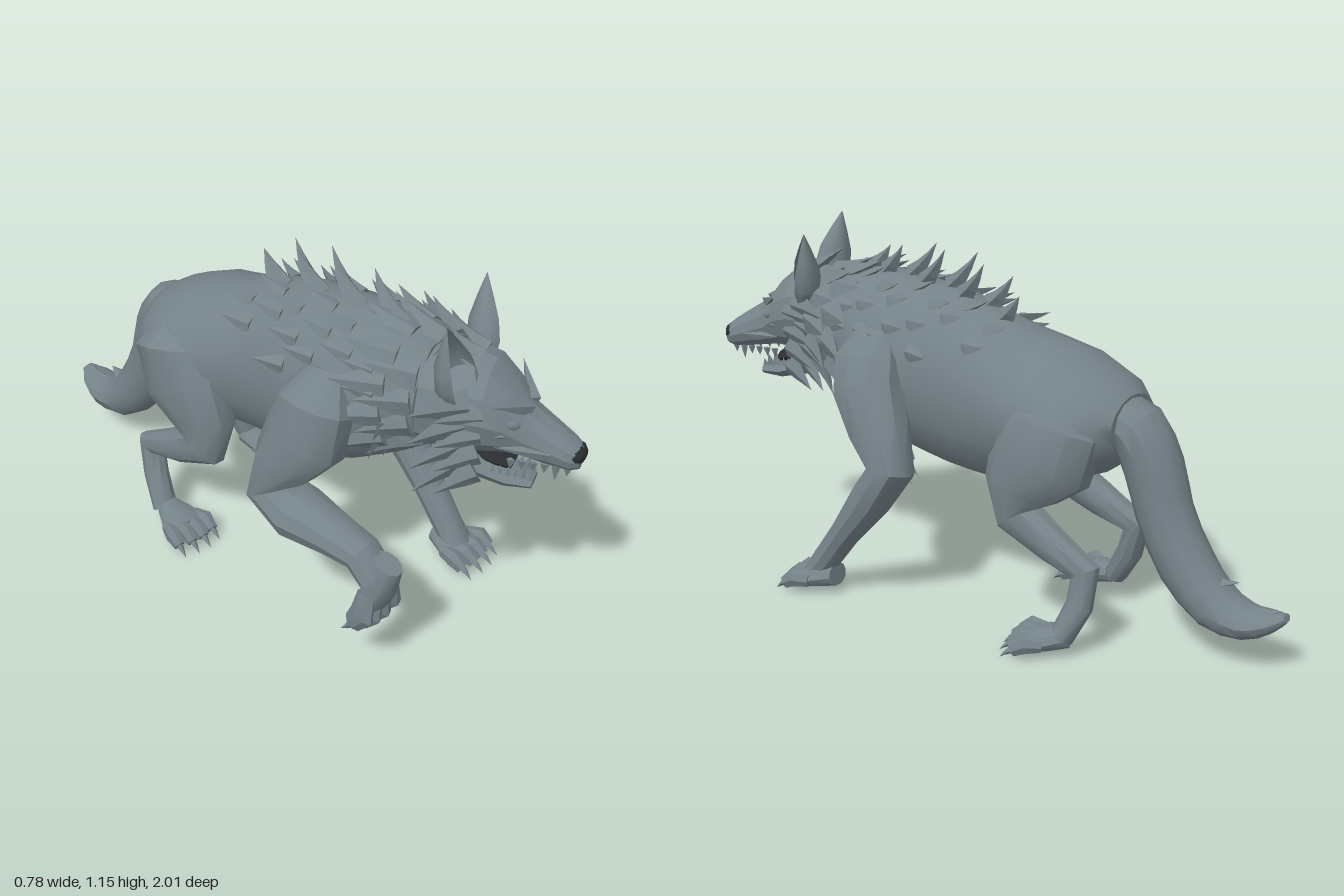
import * as THREE from 'three';
import { mergeGeometries, toCreasedNormals } from 'three/addons/utils/BufferGeometryUtils.js';

const mat = (name, color, side = THREE.FrontSide) => {
  const m = new THREE.MeshStandardMaterial({ color, side });
  m.name = name;
  return m;
};
const V = (x, y, z) => new THREE.Vector3(x, y, z);

// Closed skin through elliptical rings [x, y, z, halfWidth, halfDepth]
function loft(rings, { sides = 10, fixed = null, steps = 1, crease = 0.6 } = {}) {
  const curve = new THREE.CatmullRomCurve3(rings.map(r => V(r[0], r[1], r[2])));
  const n = (rings.length - 1) * steps, pos = [], idx = [];
  for (let k = 0; k <= n; k++) {
    const u = k / n, f = u * (rings.length - 1), i = Math.min(Math.floor(f), rings.length - 2), t = f - i;
    const p = curve.getPoint(u);
    const T = fixed ? fixed.clone() : curve.getTangent(u);
    const S = V(1, 0, 0).addScaledVector(T, -T.x).normalize();
    const D = T.clone().cross(S);
    const w = THREE.MathUtils.lerp(rings[i][3], rings[i + 1][3], t);
    const d = THREE.MathUtils.lerp(rings[i][4], rings[i + 1][4], t);
    for (let j = 0; j < sides; j++) {
      const a = (j / sides) * Math.PI * 2;
      const q = p.clone().addScaledVector(S, Math.cos(a) * w).addScaledVector(D, Math.sin(a) * d);
      pos.push(q.x, q.y, q.z);
    }
  }
  for (let k = 0; k < n; k++) for (let j = 0; j < sides; j++) {
    const a = k * sides + j, b = k * sides + (j + 1) % sides;
    idx.push(a, b, b + sides, a, b + sides, a + sides);
  }
  const e = n * sides;
  for (let j = 1; j < sides - 1; j++) idx.push(0, j + 1, j, e, e + j, e + j + 1);
  const g = new THREE.BufferGeometry();
  g.setAttribute('position', new THREE.Float32BufferAttribute(pos, 3));
  g.setIndex(idx);
  return toCreasedNormals(g, crease);
}

// Flattened leaf-shaped spike used for fur, claws and teeth
function blade(p, dir, normal, len, w, t, bend = 0) {
  const g = new THREE.ConeGeometry(1, 1, 4, 3).translate(0, 0.5, 0), a = g.attributes.position;
  for (let i = 0; i < a.count; i++) {
    const y = a.getY(i), fat = 1 + 0.8 * y * (1 - y);
    a.setXYZ(i, a.getX(i) * w * fat, y * len, a.getZ(i) * t + bend * y * y * len);
  }
  const Y = dir.clone().normalize();
  const Z = normal.clone().addScaledVector(Y, -normal.dot(Y)).normalize();
  g.applyMatrix4(new THREE.Matrix4().makeBasis(Y.clone().cross(Z), Y, Z).setPosition(p));
  const flat = g.toNonIndexed();
  flat.computeVertexNormals();
  return flat;
}

// Torso profile: [z, bottom, top, halfWidth, centreX]
const TORSO = [
  [-0.485, 0.58, 0.765, 0.13, -0.02], [-0.42, 0.52, 0.81, 0.205, -0.025], [-0.3, 0.475, 0.865, 0.25, -0.025],
  [-0.18, 0.44, 0.9, 0.24, -0.02], [-0.05, 0.425, 0.95, 0.2, 0], [0.1, 0.435, 1.0, 0.2, 0],
  [0.25, 0.47, 1.02, 0.215, 0], [0.38, 0.53, 1.035, 0.21, 0], [0.5, 0.61, 1.035, 0.18, 0.005],
  [0.6, 0.68, 1.015, 0.15, 0.03]];

// Point and outward normal on the torso; angle is measured from the spine
function onTorso(z, deg) {
  let i = 0;
  while (i < TORSO.length - 2 && TORSO[i + 1][0] < z) i++;
  const t = (z - TORSO[i][0]) / (TORSO[i + 1][0] - TORSO[i][0]);
  const [, b, top, w, cx] = TORSO[i].map((v, k) => THREE.MathUtils.lerp(v, TORSO[i + 1][k], t));
  const a = deg * Math.PI / 180, h = (top - b) / 2;
  return {
    p: V(cx + Math.sin(a) * w * 0.96, (top + b) / 2 + Math.cos(a) * h * 0.96, z),
    n: V(Math.sin(a) / w, Math.cos(a) / h, 0).normalize()
  };
}

export function createModel() {
  const root = new THREE.Group();
  root.name = 'wolf';
  const fur = mat('grey fur', 0x758389);
  const dark = mat('dark nose', 0x2b2e31);
  const furOpen = mat('ear fur', 0x758389, THREE.DoubleSide);
  const add = (name, geo, m = fur, parent = root) => {
    const mesh = new THREE.Mesh(geo, m);
    mesh.name = name;
    parent.add(mesh);
    return mesh;
  };

  // Torso and tail
  add('torso', loft(TORSO.map(([z, b, t, w, x]) => [x, (b + t) / 2, z, w, (t - b) / 2]),
    { sides: 18, fixed: V(0, 0, 1), steps: 2, crease: 0.8 }));
  add('tail', loft([[-0.015, 0.72, -0.39, 0.1, 0.05], [-0.015, 0.67, -0.5, 0.1, 0.085],
    [-0.02, 0.56, -0.56, 0.09, 0.09], [-0.02, 0.43, -0.6, 0.083, 0.088], [-0.02, 0.28, -0.68, 0.083, 0.088],
    [-0.02, 0.18, -0.78, 0.083, 0.075], [-0.02, 0.155, -0.88, 0.076, 0.052], [-0.02, 0.175, -0.955, 0.055, 0.032],
    [-0.02, 0.198, -1.0, 0.02, 0.012]], { sides: 12, steps: 2 }));
  add('tailTufts', mergeGeometries([
    blade(V(-0.02, 0.25, -0.73), V(0, -0.1, -1), V(0, 1, 0), 0.12, 0.06, 0.03, 0.25),
    blade(V(-0.02, 0.18, -0.85), V(0, 0.05, -1), V(0, 1, 0), 0.14, 0.055, 0.03, 0.2)]));

  // Legs
  add('leftForeleg', loft([[0.16, 0.87, 0.33, 0.05, 0.07], [0.2, 0.79, 0.33, 0.09, 0.12],
    [0.225, 0.7, 0.31, 0.1, 0.125], [0.255, 0.59, 0.245, 0.09, 0.105], [0.285, 0.48, 0.18, 0.078, 0.075],
    [0.295, 0.38, 0.25, 0.07, 0.065], [0.29, 0.23, 0.37, 0.053, 0.047], [0.288, 0.12, 0.455, 0.05, 0.044],
    [0.29, 0.06, 0.5, 0.055, 0.04]]));
  add('rightForeleg', loft([[-0.17, 0.88, 0.33, 0.05, 0.07], [-0.225, 0.8, 0.345, 0.1, 0.12],
    [-0.245, 0.7, 0.33, 0.1, 0.13], [-0.27, 0.59, 0.27, 0.092, 0.1], [-0.285, 0.48, 0.24, 0.09, 0.08],
    [-0.295, 0.455, 0.35, 0.092, 0.08], [-0.3, 0.46, 0.5, 0.07, 0.058], [-0.3, 0.455, 0.6, 0.06, 0.052],
    [-0.295, 0.4, 0.65, 0.06, 0.045]]));
  add('leftHindLeg', loft([[0.09, 0.76, -0.31, 0.08, 0.1], [0.115, 0.68, -0.3, 0.12, 0.165],
    [0.14, 0.57, -0.27, 0.115, 0.17], [0.16, 0.47, -0.215, 0.09, 0.12], [0.175, 0.39, -0.22, 0.065, 0.08],
    [0.18, 0.33, -0.34, 0.05, 0.058], [0.18, 0.27, -0.455, 0.04, 0.05], [0.2, 0.17, -0.45, 0.037, 0.042],
    [0.235, 0.07, -0.41, 0.042, 0.037]]));
  add('rightHindLeg', loft([[-0.12, 0.76, -0.29, 0.09, 0.1], [-0.165, 0.68, -0.28, 0.14, 0.165],
    [-0.185, 0.57, -0.23, 0.125, 0.16], [-0.195, 0.47, -0.16, 0.09, 0.12], [-0.21, 0.39, -0.15, 0.065, 0.08],
    [-0.22, 0.33, -0.27, 0.05, 0.058], [-0.22, 0.27, -0.4, 0.04, 0.05], [-0.235, 0.17, -0.37, 0.04, 0.042],
    [-0.255, 0.07, -0.31, 0.042, 0.037]]));

  // Paws: pad, four toes and claws pointing along local +z
  const paw = (name, x, y, z, yaw, pitch = 0, scale = [1, 1, 1]) => {
    const g = new THREE.Group();
    g.name = name;
    const parts = [loft([[0, 0.075, -0.04, 0.04, 0.035], [0, 0.065, 0.02, 0.066, 0.038], [0, 0.055, 0.07, 0.07, 0.03]])];
    const claws = [];
    for (const i of [-1.5, -0.5, 0.5, 1.5]) {
      const tx = i * 0.044, tz = 0.012 * (1.5 - Math.abs(i));
      parts.push(loft([[tx * 0.8, 0.06, 0.03, 0.02, 0.022], [tx, 0.063, 0.08 + tz, 0.025, 0.03],
        [tx, 0.042, 0.115 + tz, 0.019, 0.022]], { sides: 7 }));
      claws.push(blade(V(tx, 0.045, 0.11 + tz), V(i * 0.05, -0.4, 1), V(0, 1, 0), 0.05, 0.012, 0.014, -0.25));
    }
    add('padAndToes', mergeGeometries(parts), fur, g);
    add('claws', mergeGeometries(claws), fur, g);
    g.position.set(x, y, z);
    g.rotation.set(pitch, yaw, 0);
    g.scale.set(...scale);
    root.add(g);
  };
  paw('leftForepaw', 0.29, 0, 0.45, 0.08, 0, [1.1, 1.05, 1]);
  paw('leftHindPaw', 0.235, 0, -0.39, 0.35);
  paw('rightHindPaw', -0.255, 0, -0.26, -0.1);
  paw('raisedRightForepaw', -0.285, 0.41, 0.575, 0, 1.68, [0.9, 1.35, 1.5]);

  // Mane: tall spine tufts, then staggered rows lying along both flanks
  const mane = [];
  for (let i = 0; i < 8; i++) {
    const z = 0.47 - i * 0.075, { p, n } = onTorso(z, i % 2 ? 5 : -5);
    const len = 0.085 + 0.065 * Math.sin(Math.PI * (i + 0.5) / 8);
    mane.push(blade(p, V(n.x, 0.7, -0.8), V(0, 0.8, 0.75), len, 0.03, 0.035, 0.2));
  }
  [[22, 0.46, 6], [42, 0.5, 6], [62, 0.48, 4], [80, 0.5, 2]].forEach(([deg, z0, count]) => {
    for (const s of [-1, 1]) for (let i = 0; i < count; i++) {
      const { p, n } = onTorso(z0 - i * 0.1, s * (deg + (i % 2 ? 6 : -6)));
      mane.push(blade(p, V(0, -0.1, -1).addScaledVector(n, 0.35), n, 0.1, 0.03, 0.02, 0.12));
    }
  });
  // Ruff around the neck and pointed chest fur
  for (let row = 0; row < 2; row++) for (let a = -130; a <= 130; a += 26) {
    const { p, n } = onTorso(0.59 - row * 0.07, a + row * 13);
    mane.push(blade(p, V(0, -0.25, -0.9).addScaledVector(n, 0.5), n, 0.16, 0.05, 0.028, 0.1));
  }
  for (let i = -3; i <= 3; i++) {
    mane.push(blade(V(i * 0.045, 0.76 + 0.012 * Math.abs(i), 0.56 - Math.abs(i) * 0.01),
      V(i * 0.05, -1, -0.3), V(0, 0, 1), 0.16, 0.04, 0.025));
  }
  add('mane', mergeGeometries(mane));

  // Head, turned to the left
  const head = new THREE.Group();
  head.name = 'head';
  head.position.set(0.03, 0.88, 0.685);
  head.rotation.set(0, 0.36, -0.05);
  root.add(head);
  const skull = [[-0.12, -0.17, 0.12, 0.13], [-0.01, -0.17, 0.14, 0.15], [0.06, -0.15, 0.125, 0.14],
    [0.12, -0.14, 0.075, 0.11], [0.165, -0.145, 0.015, 0.082], [0.24, -0.155, -0.03, 0.064],
    [0.295, -0.158, -0.065, 0.054], [0.32, -0.15, -0.085, 0.035]];
  add('skull', loft(skull.map(([z, b, t, w]) => [0, (b + t) / 2, z, w, (t - b) / 2]),
    { sides: 12, fixed: V(0, 0, 1), crease: 0.4 }), fur, head);
  add('lowerJaw', loft([[0, -0.16, -0.04, 0.1, 0.06], [0, -0.2, 0.06, 0.078, 0.042],
    [0, -0.225, 0.13, 0.06, 0.03], [0, -0.232, 0.2, 0.036, 0.016]], { sides: 8 }), fur, head);
  add('mouthInside', loft([[0, -0.16, 0.02, 0.06, 0.03], [0, -0.175, 0.1, 0.05, 0.03], [0, -0.185, 0.14, 0.035, 0.015]],
    { sides: 8 }), dark, head);
  const nose = add('nose', new THREE.SphereGeometry(1, 10, 7), dark, head);
  nose.position.set(0, -0.108, 0.303);
  nose.scale.set(0.047, 0.029, 0.03);

  // Teeth, fur, eyes and ears on both sides of the face
  const teeth = [], face = [];
  const earProfile = [[0.045, 0], [0.066, 0.06], [0.058, 0.12], [0.032, 0.18], [0.002, 0.24]];
  for (const s of [-1, 1]) {
    for (let i = 0; i < 6; i++) {
      const z = 0.29 - i * 0.03, fang = i === 1 ? 0.05 : 0.03;
      teeth.push(blade(V(s * (0.024 + i * 0.006), -0.145, z), V(0, -1, 0), V(s, 0, 0), fang, 0.012, 0.008));
      teeth.push(blade(V(s * (0.02 + i * 0.007), -0.222 + i * 0.004, 0.19 - i * 0.02), V(0, 1, 0.15),
        V(s, 0, 0), fang, 0.011, 0.008));
    }
    // Broad cheek tufts, fanning backwards
    for (let i = 0; i < 4; i++) {
      const y = 0.04 - i * 0.06;
      face.push(blade(V(s * (0.125 - 0.008 * i), y, 0.02), V(s * 0.58, -0.05 - i * 0.17, -0.75),
        V(s, 0, 0.8), 0.17, 0.05, 0.028, 0.1));
      face.push(blade(V(s * 0.115, y - 0.03, 0.06), V(s * 0.42, -0.1 - i * 0.14, -0.8),
        V(s, 0, 0.6), 0.13, 0.042, 0.024, 0.1));
    }
    // Heavy brow, lower lid and snarl fold
    face.push(blade(V(s * 0.02, 0.005, 0.165), V(s, 0.42, -0.55), V(0, 0.6, 1), 0.15, 0.02, 0.024));
    face.push(blade(V(s * 0.05, -0.055, 0.165), V(s, 0.15, -0.8), V(s, 0, 1), 0.11, 0.016, 0.016));
    face.push(blade(V(s * 0.052, -0.1, 0.24), V(s * 0.4, 0.1, -1), V(s, 0.3, 0), 0.15, 0.022, 0.016));
    const eye = add(s > 0 ? 'leftEye' : 'rightEye', new THREE.SphereGeometry(1, 8, 6), fur, head);
    eye.position.set(s * 0.08, -0.02, 0.143);
    eye.rotation.set(0, s * 0.75, s * 0.3);
    eye.scale.set(0.026, 0.014, 0.012);
    // Cupped leaf-shaped ear, open at the front
    const ear = add(s > 0 ? 'leftEar' : 'rightEar', toCreasedNormals(new THREE.LatheGeometry(
      earProfile.map(([r, y]) => new THREE.Vector2(r, y)), 8, 0.85, Math.PI * 2 - 1.7), 0.7), furOpen, head);
    ear.position.set(s * 0.112, 0.045, -0.005);
    ear.rotation.set(-0.03, s * 0.4, -s * 0.27);
    ear.scale.z = 0.8;
  }
  // Forelock
  for (const x of [-0.05, 0, 0.05]) {
    face.push(blade(V(x, 0.12, 0.02), V(x, 0.4, -1), V(0, 1, 0), 0.12, 0.035, 0.022, 0.2));
  }
  add('teeth', mergeGeometries(teeth), fur, head);
  add('faceFur', mergeGeometries(face), fur, head);
  return root;
}
